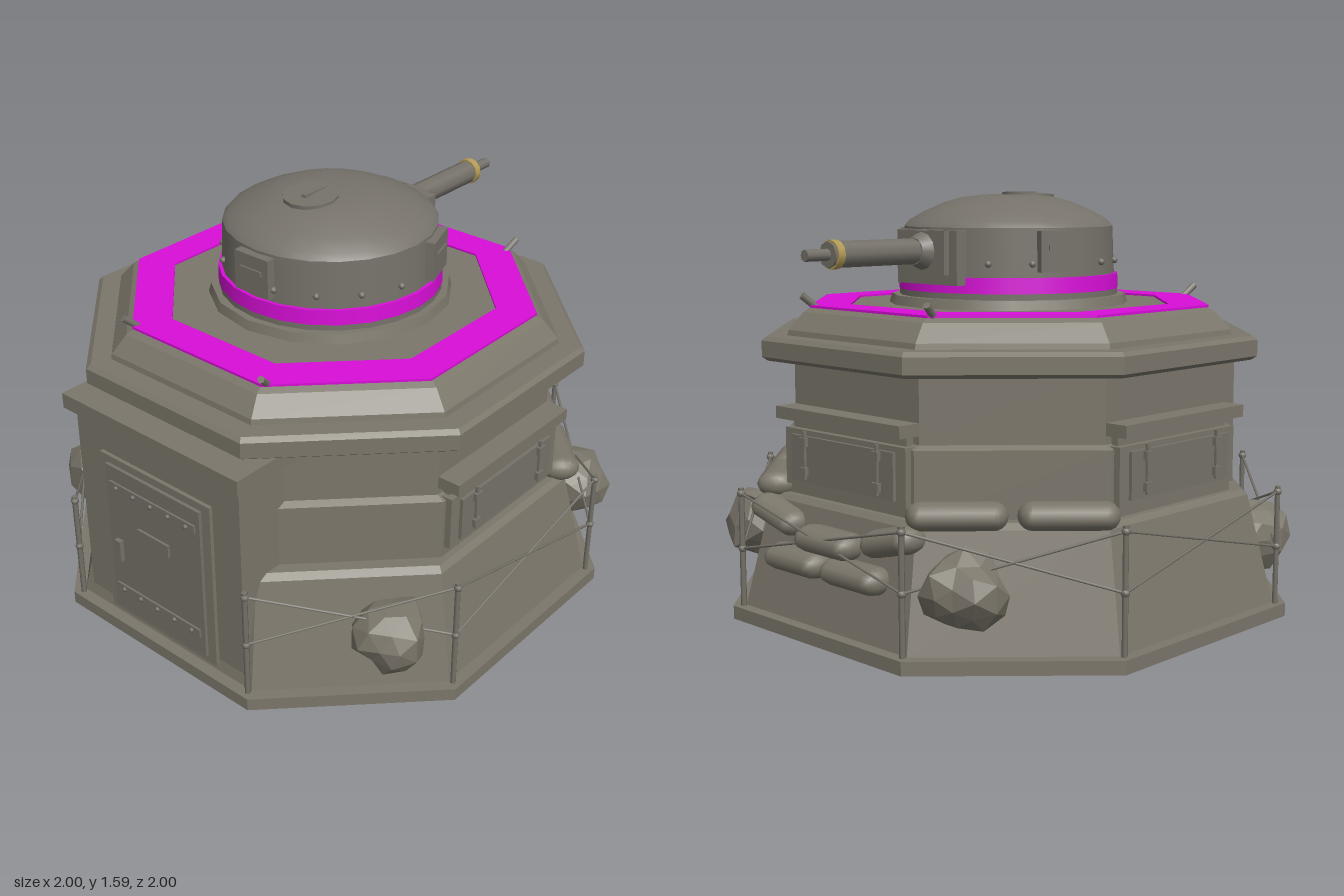
import * as THREE from 'three';

const concrete = new THREE.MeshStandardMaterial({ color: 0x7b766a, name: 'concrete' });
const steel = new THREE.MeshStandardMaterial({ color: 0x76726a, name: 'steel' });
const magenta = new THREE.MeshStandardMaterial({ color: 0xd80ed8, name: 'magenta' });
const brass = new THREE.MeshStandardMaterial({ color: 0xb39a58, name: 'brass' });

function add(parent, name, geo, mat, x = 0, y = 0, z = 0) {
  const m = new THREE.Mesh(geo, mat);
  m.name = name;
  m.position.set(x, y, z);
  parent.add(m);
  return m;
}

const box = (p, name, mat, w, h, d, x, y, z) =>
  add(p, name, new THREE.BoxGeometry(w, h, d), mat, x, y, z);

// Flat-shaded octagonal loft; each level is [y, half width, half length of the straight side]
function loft(levels, caps = true) {
  const ring = ([y, h, c]) =>
    [[h, c], [c, h], [-c, h], [-h, c], [-h, -c], [-c, -h], [c, -h], [h, -c]].map(([x, z]) => [x, y, z]);
  const rings = levels.map(ring);
  const v = [];
  for (let i = 0; i < 8; i++) {
    const j = (i + 1) % 8;
    for (let k = 0; k + 1 < rings.length; k++) {
      const lo = rings[k], up = rings[k + 1];
      v.push(...lo[j], ...lo[i], ...up[i], ...lo[j], ...up[i], ...up[j]);
    }
    if (caps) {
      const b = rings[0], t = rings[rings.length - 1];
      v.push(0, t[0][1], 0, ...t[j], ...t[i], 0, b[0][1], 0, ...b[i], ...b[j]);
    }
  }
  const g = new THREE.BufferGeometry();
  g.setAttribute('position', new THREE.Float32BufferAttribute(v, 3));
  g.computeVertexNormals();
  return g;
}

// Thin rod between two points
function rod(parent, name, a, b, r, mat = steel) {
  const A = new THREE.Vector3(...a), B = new THREE.Vector3(...b);
  const d = B.clone().sub(A);
  const m = add(parent, name, new THREE.CylinderGeometry(r, r, d.length(), 6), mat);
  m.position.copy(A).add(B).multiplyScalar(0.5);
  m.quaternion.setFromUnitVectors(new THREE.Vector3(0, 1, 0), d.normalize());
  return m;
}

// Group whose local +z points out of octagon side k (0 = front, 2 = +x, 4 = back, 6 = -x)
function side(parent, name, k) {
  const g = new THREE.Group();
  g.name = name;
  g.rotation.y = k * Math.PI / 4;
  parent.add(g);
  return g;
}

// Faceted boulder, pushed in and out by a rule of position
function rockGeometry(seed) {
  const g = new THREE.IcosahedronGeometry(1, 1);
  const p = g.attributes.position, v = new THREE.Vector3();
  for (let i = 0; i < p.count; i++) {
    v.fromBufferAttribute(p, i);
    const n = Math.sin(Math.round(v.x * 50) * 1.3 + Math.round(v.y * 50) * 2.1 + Math.round(v.z * 50) * 0.7 + seed);
    v.multiplyScalar(0.96 + 0.12 * n);
    p.setXYZ(i, v.x, v.y, v.z);
  }
  g.computeVertexNormals();
  return g;
}

function sandbag(parent, x, y, z, tilt = 0, len = 0.3) {
  const g = new THREE.CapsuleGeometry(0.05, len - 0.1, 5, 12);
  g.rotateZ(Math.PI / 2);
  g.scale(1, 1, 1.5);
  add(parent, 'sandbag', g, concrete, x, y, z).rotation.z = tilt;
}

// Shuttered firing port with hood, straps and hinges
function firingPort(parent, k) {
  const g = side(parent, 'firingPort', k);
  box(g, 'portFrame', concrete, 0.66, 0.21, 0.05, 0, 0.625, 0.82);
  box(g, 'portRecess', concrete, 0.62, 0.06, 0.06, 0, 0.75, 0.79);
  box(g, 'portHood', concrete, 0.68, 0.045, 0.11, 0, 0.788, 0.825);
  box(g, 'shutter', steel, 0.56, 0.17, 0.02, 0, 0.625, 0.848);
  for (const s of [-1, 1]) {
    box(g, 'shutterStrap', steel, 0.012, 0.18, 0.012, s * 0.2, 0.64, 0.862);
    for (const y of [0.58, 0.69]) box(g, 'shutterHinge', steel, 0.035, 0.032, 0.02, s * 0.2, y, 0.864);
  }
}

function entrance(parent) {
  const g = side(parent, 'entrance', 6);
  box(g, 'porch', concrete, 0.82, 0.86, 0.4, 0, 0.475, 0.745);
  box(g, 'porchRoof', concrete, 0.88, 0.06, 0.33, 0, 0.93, 0.815);
  box(g, 'doorFrame', concrete, 0.56, 0.7, 0.02, 0, 0.42, 0.95);
  box(g, 'door', steel, 0.48, 0.64, 0.02, 0, 0.42, 0.963);
  for (const y of [0.2, 0.66]) {
    box(g, 'doorStrap', steel, 0.44, 0.035, 0.01, 0, y, 0.976);
    for (let i = -2; i <= 2; i++)
      add(g, 'doorRivet', new THREE.SphereGeometry(0.01, 6, 4), steel, i * 0.09, y, 0.982);
  }
  box(g, 'doorSlot', steel, 0.16, 0.05, 0.014, 0, 0.5, 0.976);
  box(g, 'doorHandle', steel, 0.03, 0.09, 0.022, -0.19, 0.38, 0.98);
}

function turret(parent) {
  const g = new THREE.Group();
  g.name = 'turret';
  parent.add(g);
  const cyl = (name, r1, r2, y0, y1, mat, n = 20) =>
    add(g, name, new THREE.CylinderGeometry(r2, r1, y1 - y0, n), mat, 0, (y0 + y1) / 2, 0);
  cyl('turretRing', 0.465, 0.455, 1.165, 1.2, concrete, 16);
  cyl('turretCollar', 0.425, 0.425, 1.2, 1.23, steel, 24);
  cyl('paintedBand', 0.427, 0.425, 1.222, 1.28, magenta, 24);
  cyl('turretWall', 0.412, 0.404, 1.28, 1.46, steel, 24);
  const profile = [[0.404, 1.46], [0.385, 1.483], [0.33, 1.515], [0.25, 1.55], [0.18, 1.57], [0.09, 1.58], [0, 1.58]];
  add(g, 'dome', new THREE.LatheGeometry(profile.map(([x, y]) => new THREE.Vector2(x, y)), 24), steel);
  // Hatch with grab handle
  add(g, 'hatch', new THREE.CylinderGeometry(0.105, 0.105, 0.022, 12), steel, -0.11, 1.572, 0).rotation.z = 0.07;
  box(g, 'hatchHandle', steel, 0.13, 0.014, 0.018, -0.085, 1.584, 0);
  // Rivets round the wall
  for (let i = 0; i < 16; i++) {
    const a = (i + 0.5) * Math.PI / 8;
    if (Math.abs(Math.sin(a)) < 0.35 && Math.cos(a) > 0) continue;
    add(g, 'turretRivet', new THREE.SphereGeometry(0.013, 8, 6), steel,
      Math.cos(a) * 0.413, 1.33, Math.sin(a) * 0.413);
  }
  // Vision plates
  for (const k of [0.44, 3.56, 6]) {
    const s = side(g, 'visionPlate', k);
    box(s, 'visionArmour', steel, 0.16, 0.15, 0.035, 0, 1.375, 0.415);
    box(s, 'visionSlit', steel, 0.1, 0.018, 0.008, 0, 1.39, 0.435);
  }
  // Gun pointing along +x
  const gun = side(g, 'gun', 2);
  box(gun, 'mantlet', steel, 0.32, 0.2, 0.05, 0, 1.352, 0.41);
  box(gun, 'mantletPlate', steel, 0.24, 0.16, 0.03, 0, 1.37, 0.445);
  const tube = (name, r1, r2, z0, z1, mat, n = 12) => {
    const m = add(gun, name, new THREE.CylinderGeometry(r2, r1, z1 - z0, n), mat, 0, 1.375, (z0 + z1) / 2);
    m.rotation.x = Math.PI / 2;
  };
  tube('gunSocket', 0.08, 0.05, 0.44, 0.5, steel);
  tube('barrelJacket', 0.047, 0.047, 0.48, 0.9, steel, 8);
  tube('barrelRing', 0.052, 0.052, 0.86, 0.89, brass);
  tube('muzzle', 0.021, 0.021, 0.89, 1.0, steel, 8);
}

export function createModel() {
  const model = new THREE.Group();
  model.name = 'bunker';

  // Octagonal body from the ground up
  add(model, 'basePlate', loft([[0, 1, 0.47], [0.05, 1, 0.47]]), concrete);
  add(model, 'slopedFoot', loft([[0.05, 0.955, 0.45], [0.46, 0.865, 0.4], [0.48, 0.845, 0.385]]), concrete);
  add(model, 'lowerWall', loft([[0.47, 0.82, 0.345], [0.72, 0.82, 0.345], [0.735, 0.79, 0.34]]), concrete);
  add(model, 'upperWall', loft([[0.73, 0.79, 0.34], [0.99, 0.79, 0.34]]), concrete);
  add(model, 'cornice', loft([[0.975, 0.885, 0.375], [0.99, 0.905, 0.385], [1.05, 0.905, 0.385], [1.065, 0.89, 0.375]]), concrete);
  add(model, 'roof', loft([[1.06, 0.815, 0.35], [1.085, 0.81, 0.348], [1.15, 0.755, 0.325], [1.165, 0.725, 0.315]]), concrete);
  add(model, 'paintedRoofRing', loft([[1.164, 0.728, 0.32], [1.173, 0.728, 0.32],
    [1.173, 0.59, 0.255], [1.164, 0.59, 0.255]], false), magenta);

  for (const k of [0, 2, 4]) firingPort(model, k);
  entrance(model);
  turret(model);

  // Lifting hooks on the roof
  for (const x of [-1, 1]) for (const z of [-1, 1])
    rod(model, 'liftingHook', [x * 0.695, 1.16, z * 0.32], [x * 0.75, 1.21, z * 0.34], 0.014);

  // Boulders against the diagonal sides
  [[-0.58, 0.27, 0.78], [0.67, 0.27, 0.74], [0.81, 0.27, -0.58], [-0.55, 0.27, -0.79]].forEach((p, i) => {
    const m = add(model, 'boulder', rockGeometry(i * 1.7), concrete, ...p);
    m.scale.set(0.15, 0.145, 0.14);
    m.rotation.y = i * 1.1 + 0.4;
  });

  // Sandbags on the two +x diagonals and heaped on the +x slope
  for (const k of [1, 3]) {
    const g = side(model, 'sandbagRow', k);
    for (const s of [-1, 1]) sandbag(g, s * 0.19, 0.505, 0.875, 0, 0.35);
  }
  const heap = side(model, 'sandbagHeap', 2);
  for (const s of [-1, 1]) {
    sandbag(heap, s * 0.16, 0.27, 0.925);
    sandbag(heap, s * 0.31, 0.41, 0.885, s * 0.25, 0.26);
  }
  sandbag(heap, 0, 0.36, 0.91);

  // Wire fence: posts at the corners, crossed wires on every side but the entrance
  const corners = [[0.97, 0.445], [0.445, 0.97], [-0.445, 0.97], [-0.97, 0.445],
    [-0.97, -0.445], [-0.445, -0.97], [0.445, -0.97], [0.97, -0.445]];
  corners.forEach(([x, z], i) => {
    rod(model, 'fencePost', [x, 0.05, z], [x, 0.5, z], 0.011);
    for (const y of [0.27, 0.48]) add(model, 'fenceKnot', new THREE.SphereGeometry(0.016, 8, 6), steel, x, y, z);
    if (i === 3) return;
    const [u, w] = corners[(i + 1) % 8];
    rod(model, 'fenceWire', [x, 0.48, z], [u, 0.27, w], 0.005);
    rod(model, 'fenceWire', [x, 0.27, z], [u, 0.48, w], 0.005);
  });
  return model;
}
